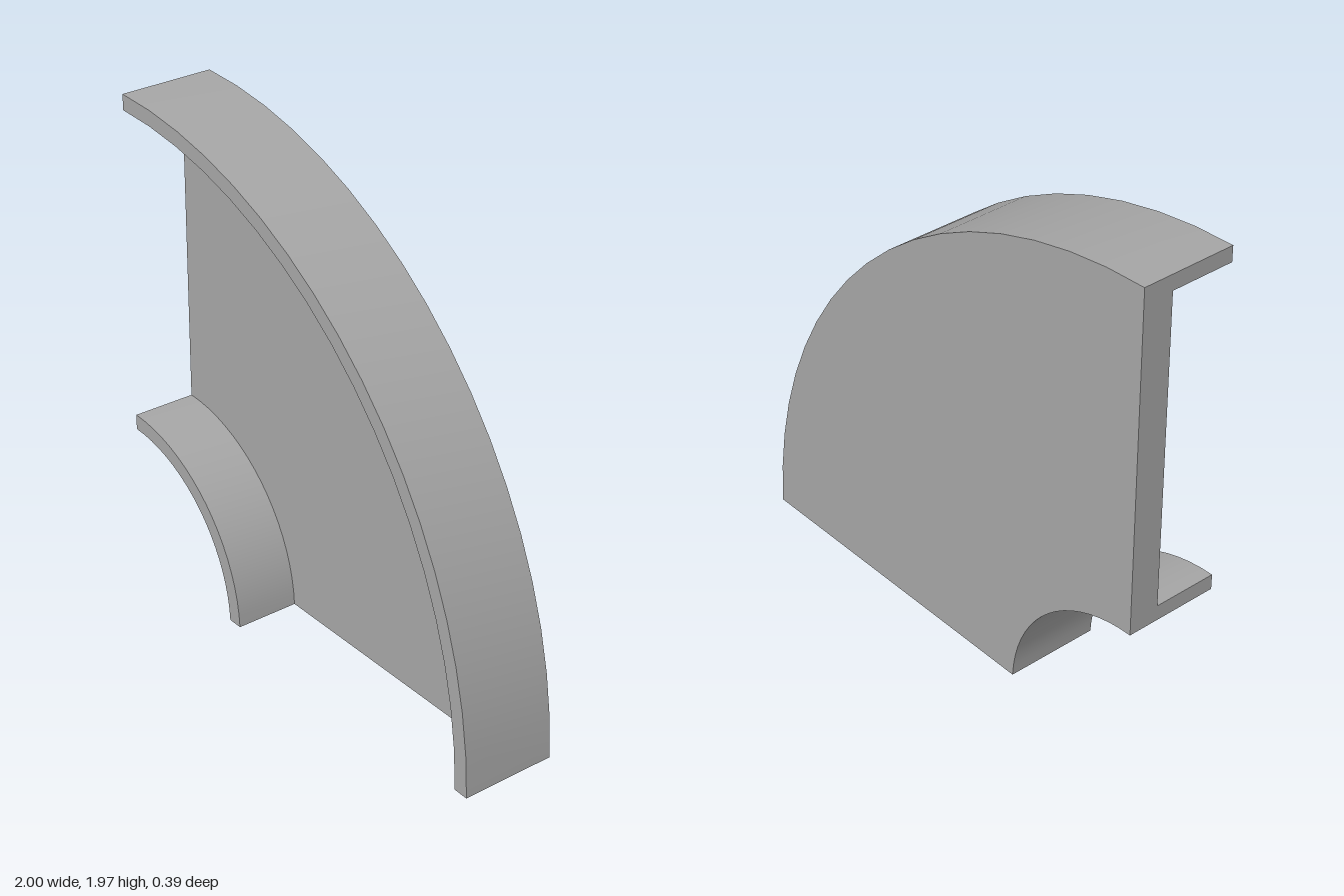
import * as THREE from 'three';
import { toCreasedNormals } from 'three/addons/utils/BufferGeometryUtils.js';

const INNER = 0.602, OUTER = 2.0;   // radii of the bend
const WALL = 0.063, WEB = 0.125;    // flange and web thickness
const HALF = 0.193;                 // half of the depth
const DROP = 0.03;                  // arc centre lies this far below the base

export function createModel() {
  const group = new THREE.Group();
  group.name = 'curvedChannel';

  // C-shaped cross-section: x is the radius, y is the depth, open to the front
  const section = new THREE.Shape([
    [INNER, -HALF], [OUTER, -HALF], [OUTER, HALF], [OUTER - WALL, HALF],
    [OUTER - WALL, -HALF + WEB], [INNER + WALL, -HALF + WEB],
    [INNER + WALL, HALF], [INNER, HALF],
  ].map(([r, z]) => new THREE.Vector2(r, z)));
  const geometry = new THREE.ExtrudeGeometry(section, { depth: 1, steps: 18, bevelEnabled: false });

  // Bend the straight channel through a quarter turn, ending flat on y = 0
  const pos = geometry.attributes.position;
  for (let i = 0; i < pos.count; i++) {
    const r = pos.getX(i), z = pos.getY(i), t = pos.getZ(i);
    const a = THREE.MathUtils.lerp(Math.PI / 2, Math.asin(DROP / r), t);
    pos.setXYZ(i, -1 + r * Math.cos(a), r * Math.sin(a) - DROP, z);
  }

  const material = new THREE.MeshStandardMaterial({ color: 0xa6a6a6 });
  const channel = new THREE.Mesh(toCreasedNormals(geometry, 0.5), material);
  channel.name = 'channelBend';
  group.add(channel);
  return group;
}
